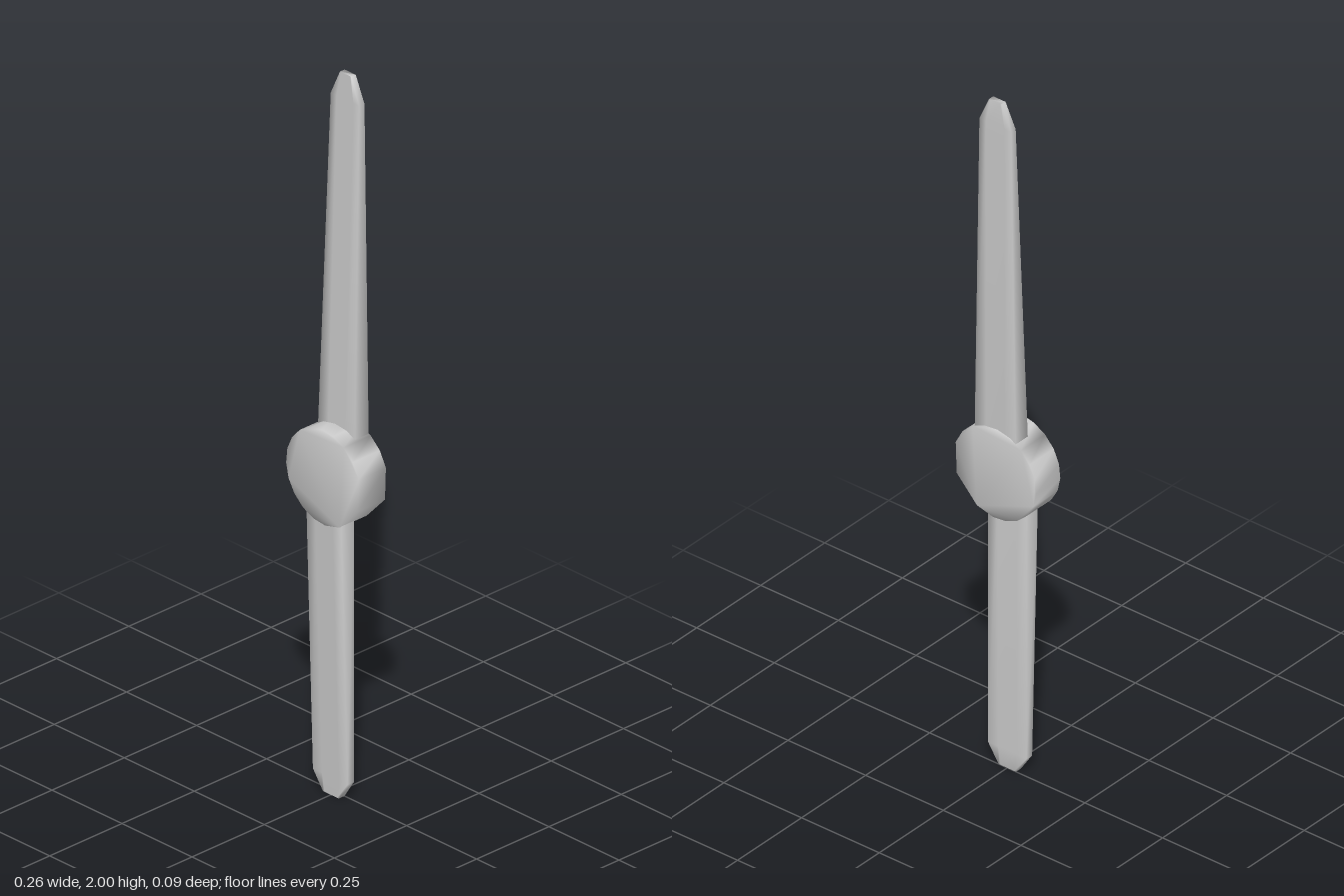
import * as THREE from 'three';
import { mergeVertices } from 'three/addons/utils/BufferGeometryUtils.js';

const material = new THREE.MeshStandardMaterial({ color: 0xcccccc });

// Share corners between faces so the shading runs softly over the edges
function soften(geometry) {
  geometry.deleteAttribute('normal');
  geometry.deleteAttribute('uv');
  const merged = mergeVertices(geometry, 1e-4);
  merged.computeVertexNormals();
  return merged;
}

function addPart(group, name, geometry) {
  const mesh = new THREE.Mesh(geometry, material);
  mesh.name = name;
  group.add(mesh);
}

// Blade lofted upwards through rows of [y, half width, front z, back z]
function bladeGeometry(rows, core) {
  const positions = [];
  const index = [];
  const n = 8;
  for (const [y, w, front, back] of rows) {
    const c = Math.min(core, w * 0.8);
    for (const x of [-w, -c, c, w]) positions.push(x, y, front);
    for (const x of [w, c, -c, -w]) positions.push(x, y, back);
  }
  for (let r = 0; r < rows.length - 1; r++) {
    for (let i = 0; i < n; i++) {
      const a = r * n + i;
      const b = r * n + (i + 1) % n;
      index.push(a, b, b + n, a, b + n, a + n);
    }
  }
  // End caps
  const top = (rows.length - 1) * n;
  for (let i = 1; i < n - 1; i++) {
    index.push(0, i + 1, i);
    index.push(top, top + i, top + i + 1);
  }
  const geometry = new THREE.BufferGeometry();
  geometry.setAttribute('position', new THREE.Float32BufferAttribute(positions, 3));
  geometry.setIndex(index);
  geometry.computeVertexNormals();
  return geometry;
}

export function createModel() {
  const group = new THREE.Group();
  group.name = 'twoBladePointer';

  // Round hub, with a coarser facet on its left flank
  const angles = [-64, -22, 18, 38, 57];
  for (let a = 75; a < 290; a += 18) angles.push(a);
  const outline = angles.map((a) => {
    const t = THREE.MathUtils.degToRad(a);
    return new THREE.Vector2(0.133 * Math.cos(t), 0.898 + 0.132 * Math.sin(t));
  });
  const hub = new THREE.ExtrudeGeometry(new THREE.Shape(outline), { depth: 0.094, bevelEnabled: false });
  hub.translate(0, 0, -0.048);
  addPart(group, 'hub', soften(hub));

  // Long blade, flush with the back of the hub
  addPart(group, 'upperBlade', bladeGeometry([
    [0.95, 0.067, 0.002, -0.047],
    [1.93, 0.051, -0.029, -0.047],
    [2.0, 0.02, -0.031, -0.047],
  ], 0.03));

  // Short blade, flush with the front of the hub
  addPart(group, 'lowerBlade', bladeGeometry([
    [0, 0.028, 0.02, 0],
    [0.052, 0.062, 0.022, 0],
    [0.82, 0.062, 0.045, 0],
  ], 0.03));

  return group;
}
